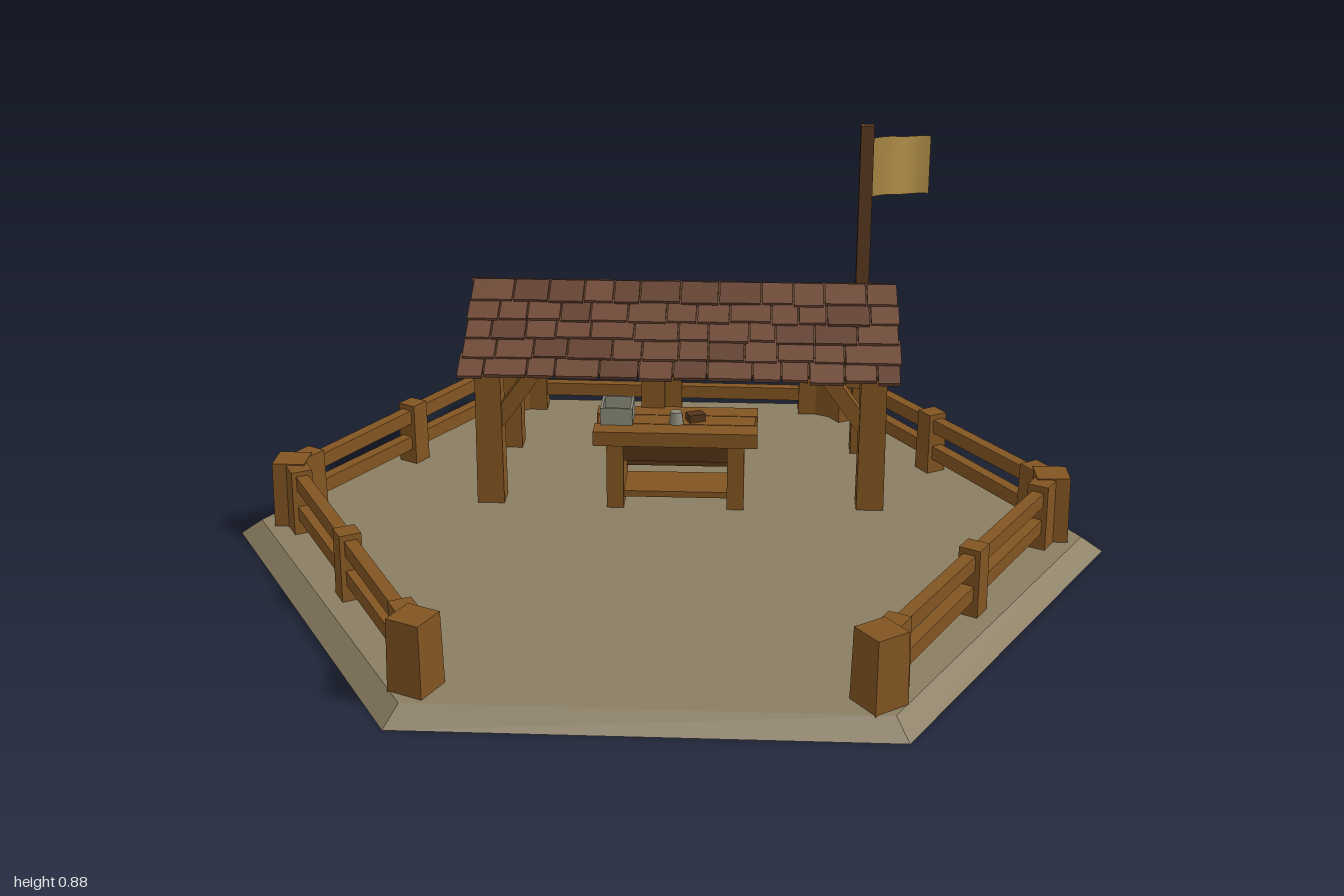
import * as THREE from 'three';
import { mergeGeometries } from 'three/addons/utils/BufferGeometryUtils.js';

const mat = (name, color, extra = {}) => {
  const m = new THREE.MeshStandardMaterial({ color, ...extra });
  m.name = name;
  return m;
};

export function createModel() {
  const M = {
    ground: mat('packed earth', 0x8a7d62, { side: THREE.DoubleSide, flatShading: true }),
    wood: mat('wood', 0x835522),
    darkWood: mat('dark wood', 0x533417),
    pole: mat('pole wood', 0x5c3a22),
    shingle: mat('shingle', 0x6e4835),
    shingleDark: mat('worn shingle', 0x62402f),
    cloth: mat('flag cloth', 0xb08d47, { side: THREE.DoubleSide }),
    grey: mat('grey goods', 0x8c8a7a),
  };
  const model = new THREE.Group();
  model.name = 'fencedStall';

  let seed = 7;
  const rand = () => (seed = (seed * 16807) % 2147483647) / 2147483647;

  const add = (parent, name, geo, material, x = 0, y = 0, z = 0, ry = 0) => {
    const m = new THREE.Mesh(geo, material);
    m.name = name;
    m.position.set(x, y, z);
    m.rotation.y = ry;
    parent.add(m);
    return m;
  };
  const box = (parent, name, material, w, h, d, x, y, z, ry) =>
    add(parent, name, new THREE.BoxGeometry(w, h, d), material, x, y, z, ry);
  // square post, a little wider at the foot
  const post = (parent, name, w, y0, y1, x, z, ry = 0, material = M.wood) => {
    const g = new THREE.BoxGeometry(w, y1 - y0, w);
    const p = g.attributes.position;
    for (let i = 0; i < p.count; i++) {
      const s = p.getY(i) > 0 ? 0.96 : 1.04;
      p.setX(i, p.getX(i) * s);
      p.setZ(i, p.getZ(i) * s);
    }
    return add(parent, name, g, material, x, (y0 + y1) / 2, z, ry);
  };

  // hexagonal ground with sloping rim, open underneath
  const rim = new THREE.CylinderGeometry(0.95, 1, 0.035, 6, 1, true);
  add(model, 'groundRim', rim, M.ground, 0, 0.0175, 0);
  const top = new THREE.CircleGeometry(0.95, 6, Math.PI / 2).rotateX(-Math.PI / 2);
  add(model, 'groundTop', top, M.ground, 0, 0.035, 0);

  // fence: corners in order, open between the last and the first
  const corners = [[-0.77, 0.43], [-0.75, -0.44], [0, -0.89], [0.73, -0.47], [0.76, 0.43], [0, 0.89]];
  const fence = new THREE.Group();
  fence.name = 'fence';
  model.add(fence);
  corners.forEach(([x, z], i) => {
    post(fence, 'cornerPost', 0.078, 0.02, 0.19, x, z, Math.atan2(x, z) + (i % 5 ? 0 : 0.1));
    if (i === 5) return;
    const [x2, z2] = corners[i + 1];
    const dx = x2 - x, dz = z2 - z, len = Math.hypot(dx, dz), ry = Math.atan2(-dz, dx);
    [0.058 / len, 0.5, 1 - 0.058 / len].forEach((t) =>
      post(fence, 'railPost', 0.05, 0.02, 0.187, x + dx * t, z + dz * t, ry));
    [0.088, 0.157].forEach((y, k) => {
      const rail = box(fence, 'rail', M.wood, len - 0.1, 0.034, 0.028, x + dx / 2, y, z + dz / 2, ry);
      rail.rotation.z = (k ? 1 : -1) * 0.006;
    });
  });

  // shelter, turned on the ground
  const stall = new THREE.Group();
  stall.name = 'shelter';
  stall.position.set(0.185, 0, -0.275);
  stall.rotation.y = -Math.PI / 6;
  model.add(stall);

  for (const sx of [-1, 1]) {
    for (const sz of [-1, 1]) {
      post(stall, 'shelterLeg', 0.062, 0.02, 0.4, sx * 0.45, sz * 0.175);
      const brace = box(stall, 'brace', M.wood, 0.19, 0.036, 0.04, sx * 0.375, 0.315, sz * 0.175);
      brace.rotation.z = sx * -0.95;
    }
    // gable infill with tie beam
    const tri = new THREE.Shape([[-0.22, 0.385], [0.22, 0.385], [0, 0.515]].map((p) => new THREE.Vector2(...p)));
    const gable = new THREE.ExtrudeGeometry(tri, { depth: 0.02, bevelEnabled: false });
    add(stall, 'gable', gable.rotateY(Math.PI / 2), M.wood, sx * 0.465 - 0.01, 0, 0);
    box(stall, 'tieBeam', M.wood, 0.045, 0.035, 0.36, sx * 0.45, 0.39, 0);
  }
  for (const sz of [-1, 1]) box(stall, 'eaveBeam', M.wood, 0.94, 0.035, 0.04, 0, 0.395, sz * 0.175);
  box(stall, 'ridgeBeam', M.wood, 0.94, 0.03, 0.03, 0, 0.495, 0);

  // roof slopes: a deck with rows of shingles; the back one is notched for the flag post
  const slope = Math.atan2(0.15, 0.25), rows = 5, step = 0.29 / rows;
  for (const back of [false, true]) {
    const side = new THREE.Group();
    side.name = back ? 'backRoof' : 'frontRoof';
    side.position.y = 0.525;
    side.rotation.set(slope, back ? Math.PI : 0, 0, 'YXZ');
    stall.add(side);
    const lowLeft = back ? -0.385 : -0.5;
    box(side, 'upperDeck', M.darkWood, 1.0, 0.01, 0.175, 0, -0.004, 0.0875);
    box(side, 'lowerDeck', M.darkWood, 0.5 - lowLeft, 0.01, 0.11, (0.5 + lowLeft) / 2, -0.004, 0.225);
    const sets = [[], []];
    for (let r = 0; r < rows; r++) {
      let x = r >= 3 && back ? -0.385 : -0.505 - rand() * 0.008;
      while (x < 0.5) {
        let w = 0.06 + rand() * 0.045;
        if (x + w > 0.47) w = 0.505 + rand() * 0.008 - x;
        const len = step + 0.012 + rand() * 0.008;
        const g = new THREE.BoxGeometry(w - 0.004, 0.009, len);
        g.rotateX(-0.09 - rand() * 0.03);
        g.translate(x + w / 2, 0.007, r * step + len / 2);
        sets[rand() < 0.75 ? 0 : 1].push(g);
        x += w;
      }
    }
    add(side, 'shingles', mergeGeometries(sets[0]), M.shingle);
    if (sets[1].length) add(side, 'wornShingles', mergeGeometries(sets[1]), M.shingleDark);
  }

  // flag post clamp on the back leg, pole and waving cloth
  box(stall, 'flagClamp', M.wood, 0.08, 0.25, 0.085, 0.44, 0.345, -0.165);
  box(model, 'flagPole', M.pole, 0.032, 0.46, 0.032, 0.64, 0.65, -0.195, -Math.PI / 6);
  const cloth = new THREE.PlaneGeometry(0.175, 0.145, 12, 4);
  const cp = cloth.attributes.position;
  for (let i = 0; i < cp.count; i++) {
    const t = cp.getX(i) / 0.175 + 0.5;
    cp.setZ(i, Math.sin(t * 6.5) * 0.011 * (0.3 + t));
    cp.setY(i, cp.getY(i) - 0.014 * t * t + Math.sin(t * 7) * 0.003);
  }
  cloth.computeVertexNormals();
  add(model, 'flag', cloth, M.cloth, 0.742, 0.773, -0.2, 0.04);

  // counter of planks on two end panels
  const counter = new THREE.Group();
  counter.name = 'counter';
  counter.position.set(-0.01, 0, 0.145);
  stall.add(counter);
  for (let i = 0; i < 3; i++) {
    box(counter, 'counterPlank', M.wood, 0.385 - (i % 2) * 0.012, 0.035, 0.056, 0, 0.214, (i - 1) * 0.059);
  }
  for (const sx of [-1, 1]) box(counter, 'endPanel', M.wood, 0.04, 0.18, 0.15, sx * 0.142, 0.11, 0);
  box(counter, 'backBoard', M.darkWood, 0.25, 0.1, 0.012, 0, 0.145, -0.05);
  box(counter, 'drawer', M.darkWood, 0.25, 0.045, 0.11, 0, 0.174, 0.01);
  box(counter, 'shelf', M.wood, 0.25, 0.015, 0.12, 0, 0.065, 0);
  // hanging upright behind the counter
  post(stall, 'upright', 0.055, 0.2, 0.45, -0.07, 0.04);

  // goods: an open tray and a small jar
  const tray = new THREE.Group();
  tray.name = 'tray';
  tray.position.set(-0.14, 0.232, 0);
  counter.add(tray);
  box(tray, 'trayBase', M.grey, 0.075, 0.008, 0.085, 0, 0.004, 0);
  for (const s of [-1, 1]) {
    box(tray, 'traySide', M.grey, 0.006, 0.042, 0.085, s * 0.035, 0.021, 0);
    box(tray, 'trayEnd', M.grey, 0.075, 0.042, 0.006, 0, 0.021, s * 0.04);
  }
  add(counter, 'jar', new THREE.CylinderGeometry(0.014, 0.018, 0.03, 10), M.grey, 0.0, 0.246, 0.02);
  box(counter, 'block', M.darkWood, 0.04, 0.02, 0.03, 0.045, 0.24, 0.0, 0.4);

  return model;
}
